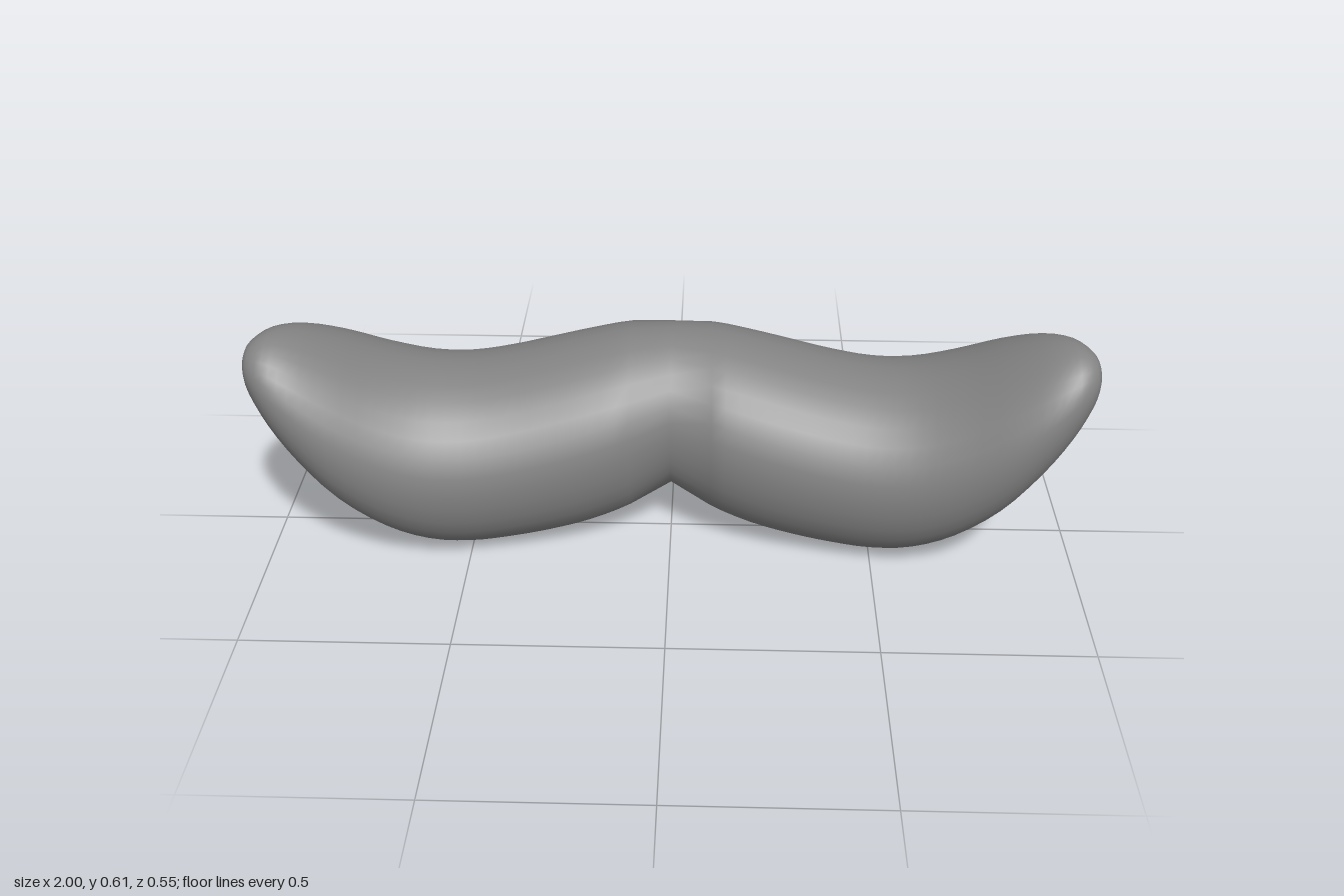
import * as THREE from 'three';
import { mergeVertices } from 'three/addons/utils/BufferGeometryUtils.js';

// Half outline from the middle to the tip: x, top y, bottom y, back z, front z
const OUTLINE = [
  [0.00, 0.525, 0.125, -0.250, 0.100],
  [0.10, 0.525, 0.076, -0.270, 0.150],
  [0.20, 0.508, 0.040, -0.274, 0.176],
  [0.30, 0.486, 0.018, -0.274, 0.194],
  [0.40, 0.466, 0.005, -0.268, 0.210],
  [0.50, 0.457, 0.001, -0.255, 0.226],
  [0.60, 0.470, 0.018, -0.233, 0.242],
  [0.70, 0.510, 0.070, -0.195, 0.258],
  [0.80, 0.566, 0.162, -0.137, 0.270],
  [0.88, 0.604, 0.275, -0.068, 0.266],
  [0.94, 0.615, 0.380, 0.006, 0.246],
  [0.98, 0.598, 0.465, 0.076, 0.212],
  [0.995, 0.572, 0.510, 0.116, 0.180],
  [1.00, 0.542, 0.542, 0.150, 0.150],
];

const AROUND = 32;
const STEPS = (OUTLINE.length - 1) * 3;

function createBody() {
  // Two smooth curves share the same x: one for height, one for depth
  const height = new THREE.CatmullRomCurve3(
    OUTLINE.map(([x, top, bottom]) => new THREE.Vector3(x, top, bottom)), false, 'catmullrom');
  const depth = new THREE.CatmullRomCurve3(
    OUTLINE.map(([x, , , back, front]) => new THREE.Vector3(x, back, front)), false, 'catmullrom');

  const positions = [];
  const indices = [];
  let rings = 0;
  for (let i = -STEPS; i <= STEPS; i++) {
    // One wide span either side of the middle keeps the cleft softly shaded
    if (i !== 0 && Math.abs(i) < 3) continue;
    rings++;
    const t = Math.abs(i) / STEPS;
    const h = height.getPoint(t);
    const d = depth.getPoint(t);
    const ry = (h.y - h.z) / 2;
    const rz = (d.z - d.y) / 2;
    for (let j = 0; j < AROUND; j++) {
      const a = (j / AROUND) * Math.PI * 2;
      const up = Math.cos(a);
      // The underside leans to the front; the top leans back near the middle
      const lean = up < 0 ? 0.13 : -0.14 * (1 - t);
      positions.push(
        Math.sign(i) * h.x,
        (h.y + h.z) / 2 + ry * up,
        (d.y + d.z) / 2 + rz * (Math.sin(a) + lean * up * up),
      );
    }
  }

  // Skin the rings from the right tip to the left tip
  for (let i = 0; i < rings - 1; i++) {
    for (let j = 0; j < AROUND; j++) {
      const k = (j + 1) % AROUND;
      const a = i * AROUND + j;
      const b = i * AROUND + k;
      const c = a + AROUND;
      const e = b + AROUND;
      indices.push(a, b, c, b, e, c);
    }
  }

  let geometry = new THREE.BufferGeometry();
  geometry.setAttribute('position', new THREE.Float32BufferAttribute(positions, 3));
  geometry.setIndex(indices);
  // Weld the tips so they shade smoothly
  geometry = mergeVertices(geometry, 1e-5);
  geometry.computeVertexNormals();
  return geometry;
}

export function createModel() {
  const group = new THREE.Group();
  group.name = 'moustache';
  const material = new THREE.MeshStandardMaterial({ color: 0x828282 });
  const body = new THREE.Mesh(createBody(), material);
  body.name = 'moustacheBody';
  group.add(body);
  return group;
}
